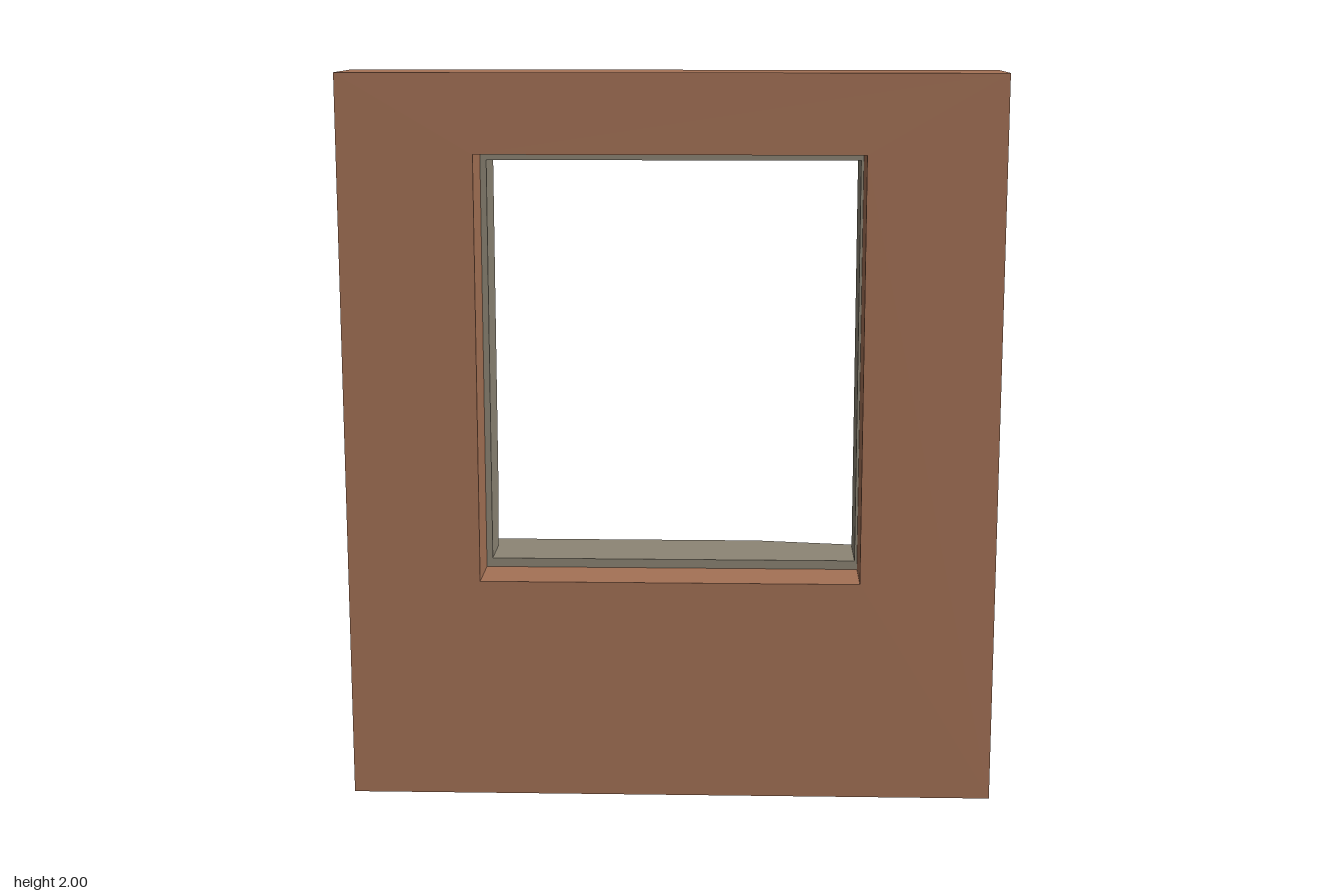
import * as THREE from 'three';
import { ConvexGeometry } from 'three/addons/geometries/ConvexGeometry.js';

const brick = new THREE.MeshStandardMaterial({ color: 0xa57256 });
brick.name = 'brick';
const stone = new THREE.MeshStandardMaterial({ color: 0x8d8575 });
stone.name = 'stone';

const BACK = -0.055, FRONT = 0.21, INNER = 0.05; // wall faces, front of the stone frame

// Faceted block: convex hull of its corner points
function block(name, points) {
  const mesh = new THREE.Mesh(new ConvexGeometry(points.map(p => new THREE.Vector3(...p))), stone);
  mesh.name = name;
  return mesh;
}

// Wall slab with a rectangular opening
function makeWall() {
  const shape = new THREE.Shape();
  shape.moveTo(-0.89, 0).lineTo(0.89, 0).lineTo(0.89, 2).lineTo(-0.89, 2).closePath();
  const hole = new THREE.Path();
  hole.moveTo(-0.525, 0.615).lineTo(-0.525, 1.785).lineTo(0.52, 1.785).lineTo(0.52, 0.615).closePath();
  shape.holes.push(hole);
  const geometry = new THREE.ExtrudeGeometry(shape, { depth: FRONT - BACK, bevelEnabled: false });
  geometry.translate(0, 0, BACK);
  const wall = new THREE.Mesh(geometry, brick);
  wall.name = 'wall';
  return wall;
}

export function createModel() {
  const model = new THREE.Group();
  model.name = 'windowWall';
  model.add(makeWall());

  // Lintel: long chip on the right top edge, small chips on the left end
  model.add(block('lintel', [
    [-0.71, 1.76, INNER], [-0.71, 1.98, INNER], [-0.71, 1.76, -0.21],
    [-0.71, 1.98, -0.15], [-0.71, 1.92, -0.21], [-0.37, 1.98, -0.21],
    [0.62, 1.98, -0.21], [0.71, 1.98, -0.193], [0.71, 1.84, -0.21],
    [0.71, 1.98, INNER], [0.71, 1.77, INNER], [0.71, 1.78, -0.21],
    [0.5, 1.76, INNER], [0.4, 1.76, -0.21],
  ]));

  // Sill: bevelled back edge that widens toward the left end
  model.add(block('sill', [
    [-0.69, 0.43, INNER], [-0.69, 0.64, INNER], [-0.69, 0.43, -0.21],
    [-0.69, 0.64, -0.175], [-0.69, 0.61, -0.21],
    [0.24, 0.64, -0.175], [0.45, 0.61, -0.21],
    [0.69, 0.64, -0.11], [0.69, 0.565, -0.21],
    [0.69, 0.43, INNER], [0.69, 0.64, INNER], [0.69, 0.43, -0.21],
  ]));

  // Left jamb: narrow bevel along the outer back edge
  const left = [];
  for (const y of [0.62, 1.775]) {
    left.push([0.513, y, INNER], [0.61, y, INNER], [0.61, y, -0.1], [0.59, y, -0.115], [0.513, y, -0.115]);
  }
  model.add(block('leftJamb', left));

  // Right jamb: chipped inner corner at the foot
  model.add(block('rightJamb', [
    [-0.61, 0.62, INNER], [-0.61, 0.62, -0.115], [-0.508, 0.62, INNER],
    [-0.508, 0.62, -0.085], [-0.54, 0.62, -0.115], [-0.508, 0.8, -0.115],
    [-0.61, 1.775, INNER], [-0.61, 1.775, -0.115],
    [-0.508, 1.775, INNER], [-0.508, 1.775, -0.115],
  ]));

  return model;
}
